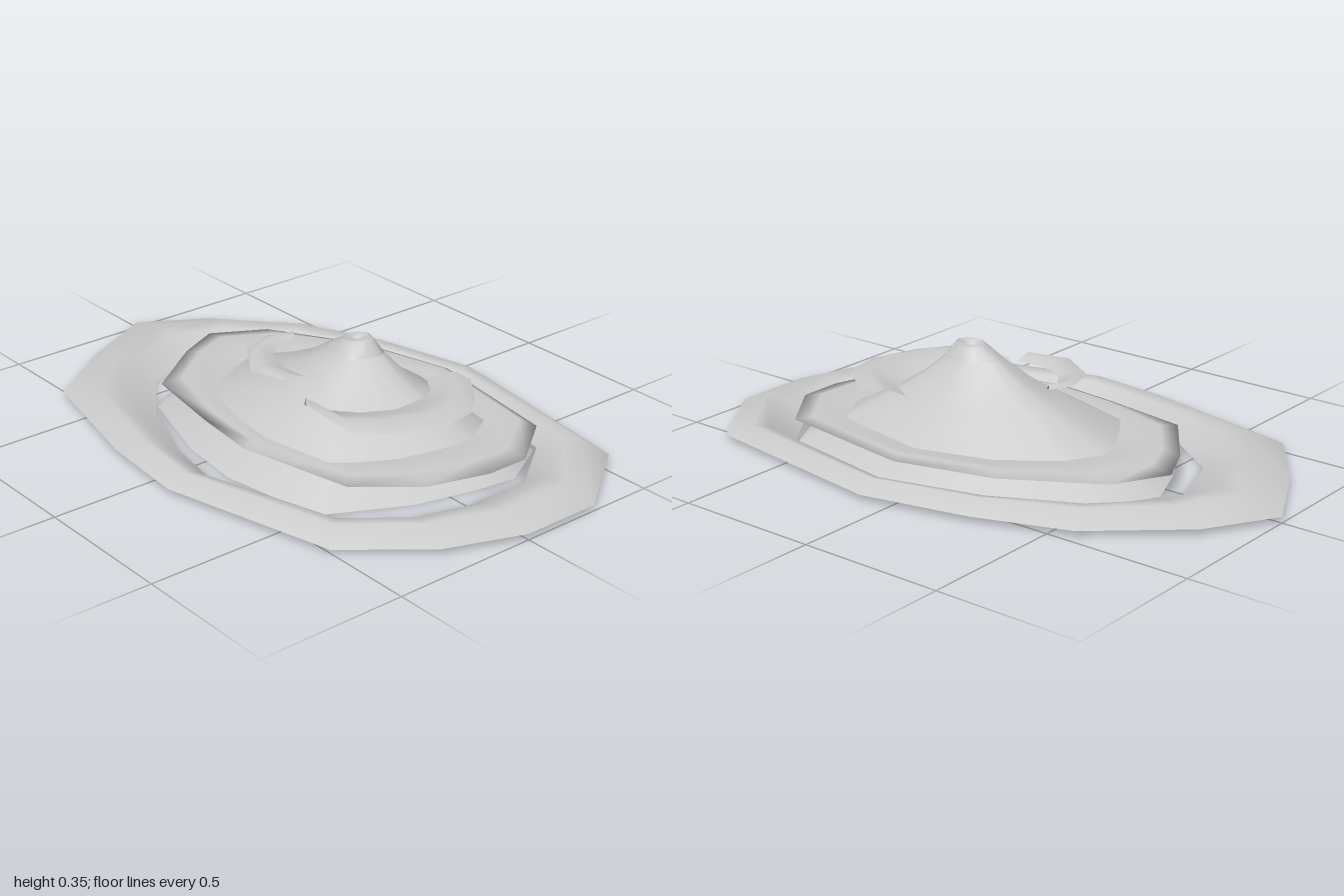
import * as THREE from 'three';

const material = new THREE.MeshStandardMaterial({ color: 0xcccccc, side: THREE.DoubleSide });
const PEAK = [0.155, -0.06];

// Smooth skin over rows of [x, y, z] points; all rows have the same length
function loft(name, rows, closed = true) {
  const n = rows[0].length, index = [];
  const geometry = new THREE.BufferGeometry();
  geometry.setAttribute('position', new THREE.Float32BufferAttribute(rows.flat(2), 3));
  for (let r = 0; r < rows.length - 1; r++) {
    for (let i = 0; i < (closed ? n : n - 1); i++) {
      const a = r * n + i, b = r * n + (i + 1) % n;
      index.push(a, a + n, b, b, a + n, b + n);
    }
  }
  geometry.setIndex(index);
  geometry.computeVertexNormals();
  const mesh = new THREE.Mesh(geometry, material);
  mesh.name = name;
  return mesh;
}

// Row at height y, a fraction t of the way from one plan outline to another
const between = (from, to, t, y) =>
  from.map(([x, z], i) => [x + (to[i][0] - x) * t, y, z + (to[i][1] - z) * t]);

// Row at height y, the plan outline shrunk towards the peak
const shrink = (outline, s, y, tilt = 0) => outline.map(([x, z]) => {
  const dx = (x - PEAK[0]) * s;
  return [PEAK[0] + dx, y + dx * tilt, PEAK[1] + (z - PEAK[1]) * s];
});

export function createModel() {
  const group = new THREE.Group();
  group.name = 'volcanoIsland';

  // Outer rim: a humped ring around the island
  const rimOuter = [
    [-1, 0], [-0.86, -0.23], [-0.58, -0.47], [-0.27, -0.58], [0.1, -0.66], [0.8, -0.555], [1, -0.275],
    [1, 0], [0.9, 0.265], [0.7, 0.51], [0.105, 0.655], [-0.21, 0.63], [-0.68, 0.525], [-0.86, 0.275]];
  const rimInner = [
    [-0.65, 0], [-0.61, -0.14], [-0.49, -0.28], [-0.235, -0.435], [0.1, -0.53], [0.6, -0.435], [0.74, -0.24],
    [0.74, 0], [0.68, 0.21], [0.565, 0.36], [0.13, 0.5], [-0.1, 0.46], [-0.38, 0.355], [-0.575, 0.215]];
  group.add(loft('outerRim', [[0, 0.02], [0.4, 0.06], [0.65, 0.052], [1, 0.003]]
    .map(([t, y]) => between(rimOuter, rimInner, t, y))));

  // Mountain: open cone with a small sunken crater
  const base = [
    [-0.6, -0.06], [-0.5, -0.23], [-0.23, -0.41], [0.1, -0.51], [0.6, -0.42], [0.7, -0.24], [0.68, -0.09],
    [0.63, 0.115], [0.49, 0.39], [0.13, 0.445], [-0.1, 0.42], [-0.42, 0.32], [-0.54, 0.09]];
  const slope = [[1, 0], [0.8, 0.06], [0.69, 0.1], [0.43, 0.18], [0.28, 0.235], [0.15, 0.3]];
  group.add(loft('mountain', slope.map(([s, y]) => shrink(base, s, y))));

  // Summit: slightly tilted lip, nearly round
  const round = base.map(([x, z]) => {
    const a = Math.atan2(z - PEAK[1], x - PEAK[0]);
    return [PEAK[0] + Math.cos(a), PEAK[1] + Math.sin(a)];
  });
  group.add(loft('crater', [shrink(base, 0.15, 0.3),
    ...[[0.05, 0.342], [0.035, 0.35], [0.022, 0.335], [0, 0.325]]
      .map(([s, y]) => shrink(round, s, y, s > 0.03 ? 0.12 : 0))]));

  // Terrace: thin ledge around the mountain
  const ledgeOuter = [
    [-0.64, -0.06], [-0.54, -0.24], [-0.235, -0.42], [0.1, -0.505], [0.6, -0.43], [0.74, -0.24], [0.74, -0.09],
    [0.68, 0.115], [0.53, 0.3], [0.13, 0.385], [-0.1, 0.36], [-0.41, 0.31], [-0.57, 0.09]];
  const ledgeInner = [
    [-0.45, -0.05], [-0.35, -0.225], [-0.19, -0.345], [0.13, -0.435], [0.47, -0.365], [0.58, -0.2], [0.56, -0.055],
    [0.52, 0.1], [0.44, 0.21], [0.13, 0.29], [-0.1, 0.27], [-0.35, 0.145], [-0.43, 0.05]];
  group.add(loft('terrace', [
    between(ledgeOuter, ledgeInner, 0.4, 0.073),
    between(ledgeOuter, ledgeInner, 0, 0.083),
    between(ledgeOuter, ledgeInner, 0.4, 0.097),
    between(ledgeOuter, ledgeInner, 1, 0.092),
    shrink(ledgeInner, 0.85, 0.085)]));

  // Crescent ledges: humped strips wrapped part way round the slope
  const crescent = (name, outer, inner, yOuter, yCrest, yInner) =>
    group.add(loft(name, [[0, yOuter], [0.35, yCrest], [0.7, (yCrest + yInner) / 2], [1, yInner]]
      .map(([t, y]) => between(outer, inner, t, y)), false));
  crescent('largeCrescent',
    [[0.39, -0.335], [0.5, -0.25], [0.57, -0.17], [0.59, -0.06], [0.54, 0.1], [0.46, 0.215], [0.2, 0.19]],
    [[0.27, -0.25], [0.35, -0.2], [0.38, -0.14], [0.385, -0.02], [0.33, 0.08], [0.26, 0.14], [0.18, 0.18]],
    0.2, 0.22, 0.187);
  crescent('smallCrescent',
    [[-0.16, -0.05], [-0.2, 0.02], [-0.165, 0.14], [-0.02, 0.235], [0.1, 0.2]],
    [[-0.14, -0.04], [-0.13, 0.03], [-0.09, 0.09], [0.01, 0.13], [0.11, 0.12]],
    0.25, 0.262, 0.243);

  return group;
}
